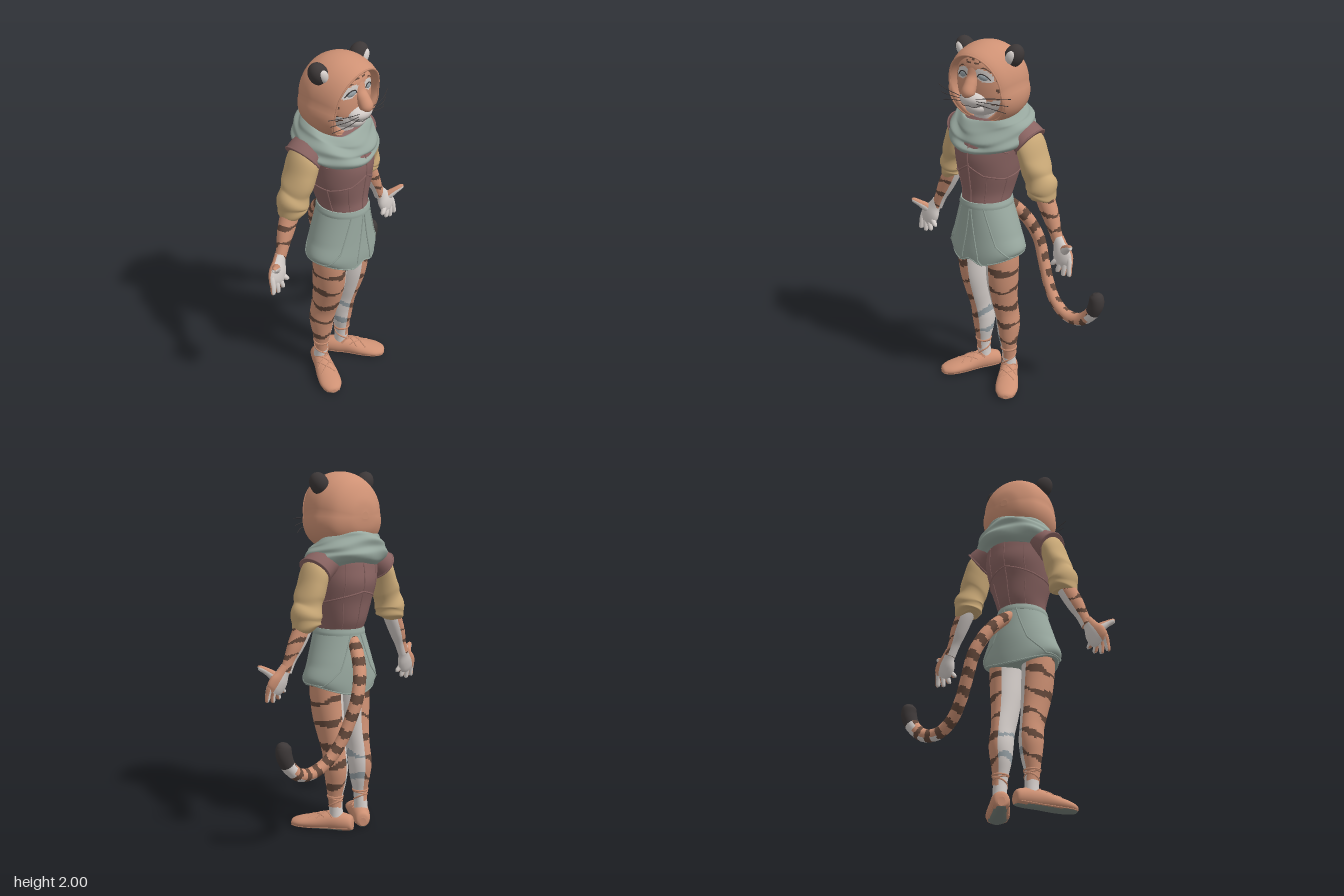
import * as THREE from 'three';

const V = (x, y, z) => new THREE.Vector3(x, y, z);
const PI = Math.PI;
const COLOURS = { orangeFur: 0xce9174, brownStripe: 0x664a3c, paleFur: 0xd6cfcb, sageCloth: 0x98a89f, maroonVest: 0x8a6462,
  tanSleeve: 0xcbaa78, charcoal: 0x3d3838, darkSole: 0x78827b, greyMarking: 0x99a3a8 };
const MATS = Object.entries(COLOURS).map(([name, color]) => {
  const m = new THREE.MeshStandardMaterial({ color });
  m.name = name;
  return m;
});
const [FUR, BROWN, PALE, SAGE, MAROON, TAN, DARK, SOLE, GREY] = MATS.keys();

// Smooth loft through elliptical sections [x, y, z, radiusX, radiusZ]; angle 0 is the front of an upright loft
function loft(rows, { n = 32, k = 6, axis = null, ref = V(1, 0, 0), warp = null, paint = null } = {}) {
  const L = rows.length - 1;
  const sample = (u) => {
    u = Math.min(L, Math.max(0, u));
    const i = Math.min(L - 1, Math.floor(u)), f = u - i;
    const [a, b, c, d] = [-1, 0, 1, 2].map((o) => rows[Math.min(L, Math.max(0, i + o))]);
    return b.map((_, q) => b[q] + 0.5 * f * (c[q] - a[q] + f * (2 * a[q] - 5 * b[q] + 4 * c[q] - d[q]
      + f * (3 * (b[q] - c[q]) + d[q] - a[q]))));
  };
  const at = (u, a) => {
    const r = sample(u), p = V(...r);
    const t = axis ? axis.clone() : V(...sample(u + 0.02)).sub(V(...sample(u - 0.02))).normalize();
    const X = ref.clone().addScaledVector(t, -ref.dot(t)).normalize();
    const Z = X.clone().cross(t);
    p.addScaledVector(X, Math.sin(a) * r[3]).addScaledVector(Z, Math.cos(a) * r[4]);
    if (warp) warp(p, u, a);
    return p;
  };
  const pos = [], buckets = MATS.map(() => []), rings = L * k;
  for (let i = 0; i <= rings; i++) for (let j = 0; j < n; j++) pos.push(...at(i / k, j / n * 2 * PI).toArray());
  for (let i = 0; i < rings; i++) for (let j = 0; j < n; j++) {
    const u = (i + 0.5) / k, a = (j + 0.5) / n * 2 * PI, b = buckets[paint(u, a, at(u, a))];
    const A = i * n + j, B = i * n + (j + 1) % n;
    b.push(A, B, B + n, A, B + n, A + n);
  }
  for (const end of [0, 1]) {
    const base = pos.length / 3, c = V(0, 0, 0);
    for (let j = 0; j < n; j++) {
      const p = at(end * L, j / n * 2 * PI);
      c.addScaledVector(p, 1 / n);
      pos.push(...p.toArray());
    }
    pos.push(...c.toArray());
    const b = buckets[paint(end * L, 0, c)];
    for (let j = 0; j < n; j++) {
      const A = base + j, B = base + (j + 1) % n;
      b.push(base + n, end ? A : B, end ? B : A);
    }
  }
  const g = new THREE.BufferGeometry();
  g.setAttribute('position', new THREE.Float32BufferAttribute(pos, 3));
  g.setIndex(buckets.flat());
  let start = 0;
  buckets.forEach((b, m) => { if (b.length) g.addGroup(start, b.length, m); start += b.length; });
  g.computeVertexNormals();
  return { g, at };
}

export function createModel() {
  const root = new THREE.Group();
  root.name = 'tigerFigure';
  root.position.x = -0.033;
  const add = (name, g, mat, parent = root) => {
    const m = new THREE.Mesh(g, mat === undefined ? MATS : MATS[mat]);
    m.name = name;
    parent.add(m);
    return m;
  };
  const part = (name, rows, opts, parent) => {
    const l = loft(rows, typeof opts === 'number' ? { paint: () => opts } : opts);
    add(name, l.g, undefined, parent);
    return l.at;
  };
  const ball = (name, mat, p, r, rot = [0, 0, 0]) => {
    const m = add(name, new THREE.SphereGeometry(1, 24, 16), mat);
    m.position.set(...p); m.scale.set(...r); m.rotation.set(...rot);
  };
  const wire = (name, pts, r, mat = DARK, parent = root) =>
    add(name, new THREE.TubeGeometry(new THREE.CatmullRomCurve3(pts), pts.length * 3, r, 5), mat, parent);
  // Raised piping along a lofted surface through [row, angle] pairs
  const seam = (name, at, path, mat, r = 0.0035, parent = root) => {
    const pts = [];
    for (let i = 0; i < path.length - 1; i++) for (let q = i ? 1 : 0; q <= 8; q++)
      pts.push(at(...[0, 1].map((c) => path[i][c] + (path[i + 1][c] - path[i][c]) * q / 8)));
    wire(name, pts, r, mat, parent);
  };
  // Broken, tapering tiger stripes
  const stripe = (y, a, f, ph) => Math.sin(y * f + 1.2 * Math.sin(a + ph) + 0.3 * Math.sin(a * 3 + y * 20))
    > 0.25 + 0.7 * Math.abs(Math.sin(a * 0.9 + y * f * 0.31 + ph));
  const UP = V(0, 1, 0), FWD = V(0, 0, 1);
  const loop = [0, 1, 2, 3, 4, 5, 6, 7, 8].map((i) => i * PI / 4);

  // Vest and its piping
  const vest = part('vest', [[0, 1.1, .08, .12, .13], [0, 1.14, .08, .13, .138], [0, 1.2, .065, .14, .15], [0, 1.3, .06, .17, .168],
    [0, 1.4, .05, .188, .19], [0, 1.48, .045, .2, .18], [0, 1.55, .03, .2, .15], [0, 1.6, .03, .14, .11]],
  { n: 48, axis: UP, paint: () => MAROON });
  seam('frontClosure', vest, [[1, 0], [5, 0]], MAROON, 0.005);
  seam('backSeam', vest, [[1, PI], [6, PI]], MAROON);
  for (const s of [1, -1]) {
    seam('chestSeam', vest, [[3.6, 0], [3.1, s * .5], [2.9, s * 1.2], [3.1, s * 2], [3.6, s * PI]], MAROON, 0.005);
    for (const a of [.6, 1.3, 2.5]) seam('panelSeam', vest, [[1, s * a], [3, s * a]], MAROON);
    seam('frontYokeSeam', vest, [[4.9, s * .6], [4.4, s * 1.2]], MAROON);
    seam('backYokeSeam', vest, [[3.3, s * 2.5], [5.5, s * 2.6]], MAROON);
  }

  // Skirt with raised sides and front notch, waistband and panel edges
  const skirt = part('skirt', [[0, .785, .07, .205, .163], [0, .85, .07, .23, .164], [0, .95, .07, .202, .16], [0, 1.05, .075, .168, .152],
    [0, 1.14, .08, .136, .145]], { n: 72, axis: UP, paint: () => SAGE,
    warp: (p, u, a) => { p.y += (0.055 * Math.sin(a) ** 2 + .035 * Math.max(0, Math.cos(a)) ** 40) * Math.max(0, 1 - u / 2); } });
  part('waistband', [[0, 1.115, .08, .145, .15], [0, 1.13, .08, .145, .15], [0, 1.15, .08, .138, .146]], { n: 48, axis: UP, paint: () => SAGE });
  for (const s of [1, -1]) {
    seam('frontSlit', skirt, [[3.8, s * .03], [.5, s * .25], [0, s * .4]], SAGE, 0.005);
    seam('sidePanelEdge', skirt, [[3.8, s * .55], [1.6, s * .75], [.5, s * 1.15], [.3, s * 1.6], [.5, s * 2.1], [1.8, s * 2.6], [3.8, s * 2.9]], SAGE, 0.005);
  }
  seam('skirtHem', skirt, loop.map((a) => [0.15, a]), SAGE);

  // Draped scarf, dipping to a point at the front
  part('scarf', [[0, 1.485, .03, .19, .17], [0, 1.498, .03, .23, .2], [0, 1.525, .03, .25, .214], [0, 1.55, .03, .24, .2],
    [0, 1.575, .03, .236, .2], [0, 1.6, .03, .214, .178], [0, 1.62, .03, .204, .165], [0, 1.645, .03, .172, .135], [0, 1.61, .03, .15, .11]],
  { n: 64, axis: UP, paint: () => SAGE, warp: (p, u, a) => {
    p.y -= (.22 + 1.1 * (p.y - 1.49)) * (p.z - .03) + .035 * Math.max(0, Math.cos(a)) ** 3 * Math.max(0, 1 - u / 9);
    p.y += .007 * Math.sin(a * 3 + u) - .012 * Math.abs(Math.sin(a)) * Math.max(0, 1 - u / 5);
    p.z += .006 * Math.sin(a * 5 + u * 1.5);
  } });

  // Hood: rings from the back of the head to the curled front rim (angle 0 is the bottom), fuller at the jaw
  const hood = part('hood', [[0, 1.77, -.142, .02, .02], [0, 1.77, -.13, .09, .09], [0, 1.78, -.08, .16, .165], [0, 1.787, 0, .193, .203],
    [0, 1.785, .065, .197, .213], [0, 1.775, .13, .188, .2], [0, 1.765, .17, .172, .182], [0, 1.765, .163, .16, .17], [0, 1.765, .1, .145, .15]],
  { n: 64, axis: FWD, paint: () => FUR,
    warp: (p, u, a) => {
      const f = 1 + .38 * Math.max(0, Math.cos(a)) * Math.sin(a) ** 2 * Math.min(1, Math.max(0, 7 - u));
      p.x *= f; p.y = 1.775 + (p.y - 1.775) * f;
      const dy = p.y - 1.765;
      p.z += Math.max(0, p.z) * 5.9 * (.13 * dy + .7 * dy * Math.abs(dy));
    } });
  seam('hoodRim', hood, loop.map((a) => [6.2, a]), FUR, 0.005);

  // Face and neck
  part('neck', [[0, 1.5, .05, .08, .08], [0, 1.58, .06, .075, .075], [0, 1.68, .08, .08, .08]], PALE);
  part('face', [[0, 1.615, .1, .04, .05], [0, 1.65, .1, .1, .08], [0, 1.71, .1, .142, .096], [0, 1.77, .1, .157, .1],
    [0, 1.83, .1, .157, .097], [0, 1.89, .1, .14, .094], [0, 1.955, .1, .07, .065]],
  { n: 80, k: 9, axis: UP, paint: (u, a, p) => {
    const x = Math.abs(p.x);
    if (p.y < 1.705 + .2 * Math.max(0, x - .07)) return x > .1 && Math.sin(p.y * 150 + x * 50) > .75 ? BROWN : PALE;
    if (((x - .07) / .05) ** 2 + ((p.y - 1.842 + (x - .07) * .3) / .03) ** 2 < 1) return PALE;
    if (p.y > 1.9 && x < .045 && Math.sin(p.y * 220 - x * 70) > .5) return BROWN;
    if (x > .125 && Math.sin(p.y * 110 + x * 60) > .5) return BROWN;
    return FUR;
  } });
  part('noseBridge', [[0, 1.735, .232, .02, .014], [0, 1.75, .231, .036, .034], [0, 1.79, .207, .035, .034], [0, 1.83, .186, .034, .026],
    [0, 1.88, .172, .042, .022], [0, 1.91, .16, .025, .015]], FUR);
  ball('muzzle', PALE, [0, 1.712, .182], [.082, .045, .06]);
  ball('chin', PALE, [0, 1.665, .168], [.06, .038, .045]);
  wire('mouth', [V(-.062, 1.688, .212), V(-.03, 1.68, .226), V(0, 1.69, .236), V(.03, 1.68, .226), V(.062, 1.688, .212)], 0.0015);
  wire('noseEdge', [V(-.022, 1.742, .25), V(0, 1.732, .246), V(.022, 1.742, .25)], 0.003);
  for (const s of [1, -1]) {
    ball('eye', GREY, [s * .066, 1.835, .182], [.031, .018, .013], [0, s * .35, -s * .25]);
    ball('pupil', DARK, [s * .064, 1.835, .1915], [.007, .01, .004], [0, s * .3, 0]);
    wire('eyelid', [V(s * .034, 1.833, .194), V(s * .05, 1.851, .195), V(s * .08, 1.847, .187), V(s * .106, 1.822, .173)], 0.003);
    wire('brow', [V(s * .04, 1.876, .188), V(s * .07, 1.882, .182), V(s * .105, 1.862, .168)], 0.004, BROWN);
    for (const [i, dy] of [.025, 0, -.025].entries())
      wire('whisker', [V(s * .05, 1.715 + dy * .5, .225), V(s * .14, 1.72 + dy, .225), V(s * (.24 - i * .015), 1.71 + dy * 1.6, .18)], 0.0018);
    // Ears
    ball('ear', DARK, [s * .16, 1.935, .05], [.05, .064, .052], [.15, s * .25, -s * .5]);
    ball('innerEar', PALE, [s * .163, 1.932, .088], [.026, .04, .02], [.15, s * .25, -s * .5]);
  }

  for (const s of [1, -1]) {
    const mir = (rows) => rows.map(([x, ...r]) => [s * x, ...r]);
    // Puffed sleeve and shoulder cap
    part('sleeve', mir([[.297, 1.172, -.012, .055, .055], [.3, 1.19, -.012, .076, .08], [.302, 1.22, -.012, .076, .082], [.3, 1.25, -.01, .083, .09],
      [.286, 1.295, -.005, .072, .082], [.274, 1.34, 0, .074, .094], [.254, 1.4, .002, .068, .098], [.228, 1.48, .005, .062, .096], [.195, 1.55, .01, .04, .06]]),
    { paint: () => TAN, warp: (p, u, a) => { p.y += .008 * Math.sin(a * 2 + u * 1.5) - .06 * (Math.abs(p.x) - .3) * Math.max(0, 1 - u / 4); } });
    const cap = part('shoulderCap', mir([[.235, 1.475, 0, .086, .105], [.2, 1.5, .003, .085, .105], [.13, 1.54, .01, .08, .1], [.07, 1.57, .02, .05, .07]]), MAROON);
    seam('capEdge', cap, loop.map((a) => [.2, a]), MAROON, 0.005);

    // Forearm with stripes
    part('forearm', mir([[.43, .955, .005, .033, .028], [.402, 1.02, .003, .035, .032], [.37, 1.09, -.005, .046, .043], [.33, 1.17, -.01, .05, .05], [.3, 1.24, -.01, .05, .05]]),
      { n: 40, k: 12, paint: (u, a, p) => (s * Math.sin(a) < -.2 && Math.cos(a) < .55 ? PALE : stripe(p.y, a, 80, s) ? BROWN : FUR) });
    // Open hand: pale palm and inner side, fur along the outer edge
    const skin = { n: 20, k: 5, paint: (u, a) => (Math.cos(a) < .4 && s * Math.sin(a) > .2 ? FUR : PALE) };
    part('palm', mir([[.498, .848, .03, .04, .016], [.485, .87, .027, .057, .025], [.465, .91, .02, .058, .03], [.445, .95, .012, .04, .028], [.425, .985, .005, .032, .027]]), skin);
    for (const [x0, y0, x1, y1] of [[.52, .88, .528, .805], [.495, .87, .49, .798], [.47, .865, .452, .81], [.445, .875, .417, .842]])
      part('finger', mir([[x1, y1 - .006, .043, .004, .004], [x1, y1, .042, .012, .012], [(x0 + x1) / 2, (y0 + y1) / 2, .038, .0155, .015],
        [x0, y0, .029, .017, .017], [x0 - .01, y0 + .025, .024, .015, .015]]), skin);
    part('thumb', mir([[.556, .985, .08, .005, .005], [.55, .983, .077, .014, .014], [.52, .965, .058, .019, .018], [.485, .935, .03, .026, .022], [.46, .91, .02, .015, .015]]),
      { n: 20, k: 5, ref: UP, paint: (u, a) => (Math.sin(a) > .3 ? FUR : PALE) });

    // Legs: pale inside, striped outside
    const leg = part('leg', mir([[.093, .05, -.01, .04, .042], [.093, .12, -.005, .037, .04], [.094, .19, 0, .041, .042], [.09, .28, 0, .056, .062],
      [.09, .36, 0, .063, .075], [.088, .45, .015, .06, .08], [.09, .55, .04, .07, .088], [.095, .66, .06, .082, .098], [.1, .78, .07, .088, .1], [.1, .88, .07, .088, .1]]),
    { n: 64, k: 10, paint: (u, a, p) => {
      const o = s * Math.sin(a), mark = p.y > .24 && stripe(p.y, a * s, 52, .4);
      if (o < -.25 || p.y < .14) return mark && p.y < .5 ? GREY : PALE;
      return mark ? BROWN : FUR;
    } });
    // Crossed ankle straps
    for (const d of [1, -1]) seam('ankleStrap', leg, [[.6, d * -.8], [1.2, d * .6], [1.7, d * 2.4], [2, d * 4.2], [2.1, d * 6.5]], FUR, 0.005);
    seam('ankleBand', leg, loop.map((a) => [2.1, a]), FUR, 0.006);

    // Soft shoe, turned outward
    const foot = new THREE.Group();
    foot.name = 'foot';
    foot.position.set(s * .092, 0, -.005);
    foot.rotation.y = s * .58;
    root.add(foot);
    const shoe = part('shoe', [[0, .035, -.1, .02, .025], [0, .045, -.087, .04, .043], [0, .05, -.03, .05, .053], [0, .05, .04, .053, .053],
      [0, .038, .13, .063, .042], [0, .03, .205, .062, .032], [0, .024, .252, .04, .022], [0, .02, .265, .015, .012]],
    { n: 40, axis: FWD, warp: (p) => { p.y = Math.max(p.y, 0); }, paint: (u, a, p) => (p.y < .01 ? SOLE : FUR) }, foot);
    for (const d of [1, -1]) {
      seam('shoeLace', shoe, [[2.6, PI - d], [3.2, PI], [3.7, PI + d * .9]], FUR, 0.004, foot);
      seam('shoeLace', shoe, [[3.2, PI - d * .9], [3.8, PI], [4.3, PI + d * .7]], FUR, 0.004, foot);
      seam('shoeEdge', shoe, [[1.2, d], [3, d * .9], [5, d], [6.2, d * 1.1]], FUR, 0.003, foot);
    }
  }

  // Curled tail with broad bands, pale underside near the end and dark tip
  part('tail', [[.0, 1.1, -.03, .03, .03], [.033, 1.04, -.11, .036, .036], [.08, .94, -.19, .036, .036], [.13, .82, -.23, .035, .035], [.172, .7, -.222, .034, .034],
    [.222, .58, -.203, .033, .033], [.29, .485, -.18, .033, .033], [.38, .432, -.165, .034, .034], [.47, .435, -.163, .036, .036], [.54, .49, -.163, .038, .038],
    [.573, .555, -.163, .043, .043], [.576, .605, -.163, .039, .039], [.573, .627, -.163, .021, .021], [.572, .632, -.163, .004, .004]],
  { n: 32, k: 14, ref: V(0.3, 0, 1), paint: (u, a) => {
    if (u > 9.3) return DARK;
    const band = Math.sin(u * 8.5 + .4 * Math.sin(a * 3)) > .1;
    if (u > 7 && Math.cos(a) < (u > 8.7 ? .35 : -.5)) return band && u < 8.5 ? BROWN : PALE;
    return band && Math.cos(a + u * .3) > -.8 ? BROWN : FUR;
  } });
  return root;
}
